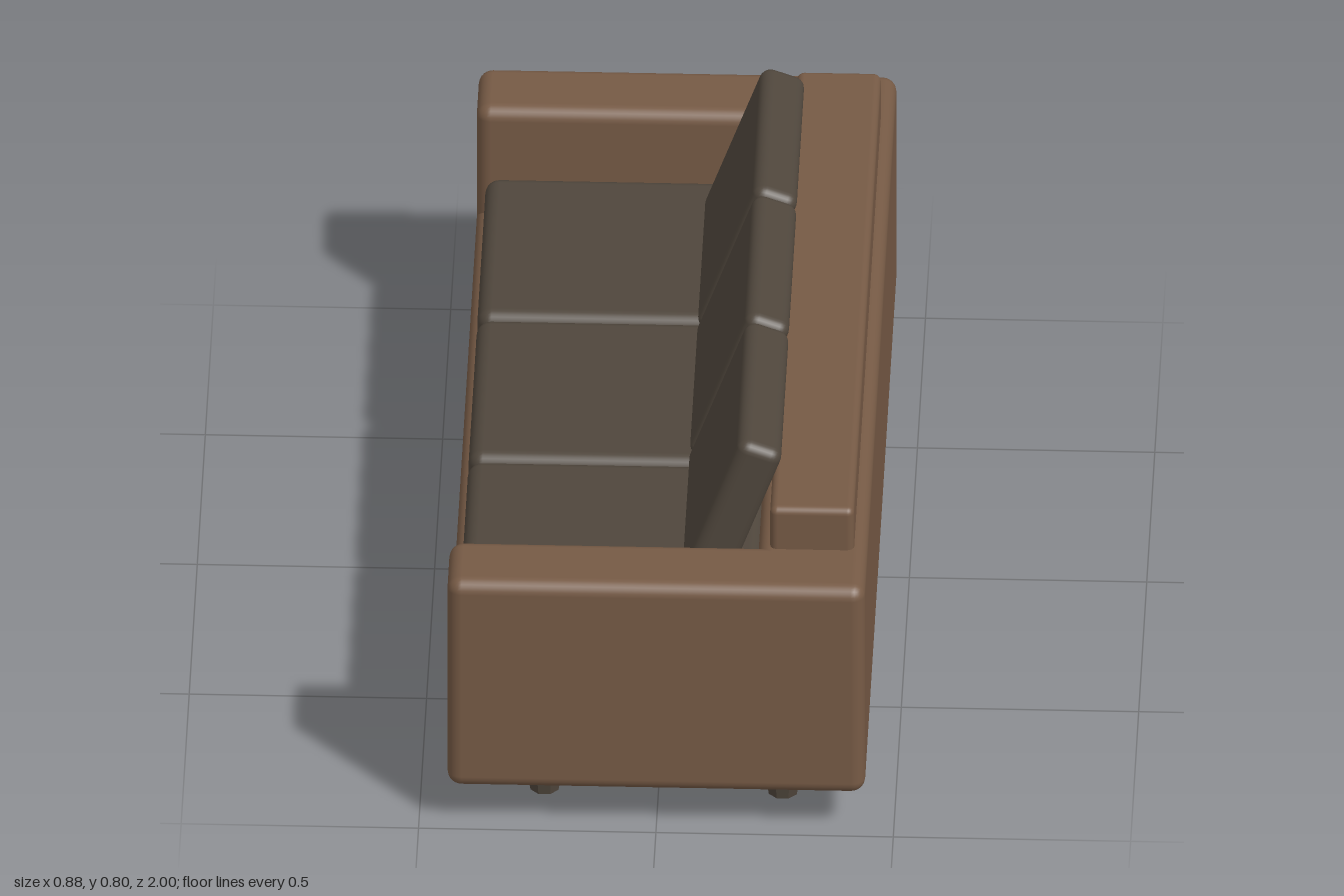
import * as THREE from 'three';
import { RoundedBoxGeometry } from 'three/addons/geometries/RoundedBoxGeometry.js';

export function createModel() {
  const model = new THREE.Group();
  model.name = 'sofa';

  const upholstery = new THREE.MeshStandardMaterial({ color: 0x765a45 });
  upholstery.name = 'brown upholstery';
  const cushionFabric = new THREE.MeshStandardMaterial({ color: 0x4f463c });
  cushionFabric.name = 'dark grey fabric';
  const legWood = cushionFabric.clone();
  legWood.name = 'dark leg wood';
  legWood.flatShading = true;

  // Soft-edged block given by its extents on each axis
  function block(name, [x0, x1], [y0, y1], [z0, z1], radius, material) {
    const geometry = new RoundedBoxGeometry(x1 - x0, y1 - y0, z1 - z0, 3, radius);
    const mesh = new THREE.Mesh(geometry, material);
    mesh.name = name;
    mesh.position.set((x0 + x1) / 2, (y0 + y1) / 2, (z0 + z1) / 2);
    model.add(mesh);
    return mesh;
  }

  // Frame: the seat opens towards -x
  block('seatBase', [-0.44, 0.44], [0.1, 0.36], [-0.95, 0.95], 0.03, upholstery);
  block('backrest', [0.21, 0.44], [0.1, 0.617], [-1, 1], 0.03, upholstery);
  block('rightArm', [-0.44, 0.44], [0.1, 0.617], [-1, -0.825], 0.03, upholstery);
  block('leftArm', [-0.44, 0.44], [0.1, 0.617], [0.825, 1], 0.03, upholstery);

  // Raised bolster along the back
  block('backBolster', [0.235, 0.412], [0.56, 0.718], [-0.848, 0.845], 0.016, upholstery);

  // Three seat cushions and three leaning back cushions
  for (let i = -1; i <= 1; i++) {
    const z = i * 0.546;
    block('seatCushion', [-0.42, 0.21], [0.34, 0.46], [z - 0.272, z + 0.272], 0.03, cushionFabric);
    const b = i * 0.49;
    const back = block('backCushion', [0.101, 0.199], [0.425, 0.805], [b - 0.244, b + 0.244], 0.025, cushionFabric);
    back.rotation.z = -THREE.MathUtils.degToRad(20);
  }

  // Tapered eight-sided legs
  const legProfile = [[0, 0], [0.032, 0], [0.043, 0.07], [0.03, 0.105], [0, 0.105]]
    .map(([r, y]) => new THREE.Vector2(r, y));
  const legGeometry = new THREE.LatheGeometry(legProfile, 8, Math.PI / 8);
  for (const x of [-0.24, 0.262]) {
    for (const z of [-0.825, 0.83]) {
      const leg = new THREE.Mesh(legGeometry, legWood);
      leg.name = 'leg';
      leg.position.set(x, 0, z);
      model.add(leg);
    }
  }

  return model;
}
